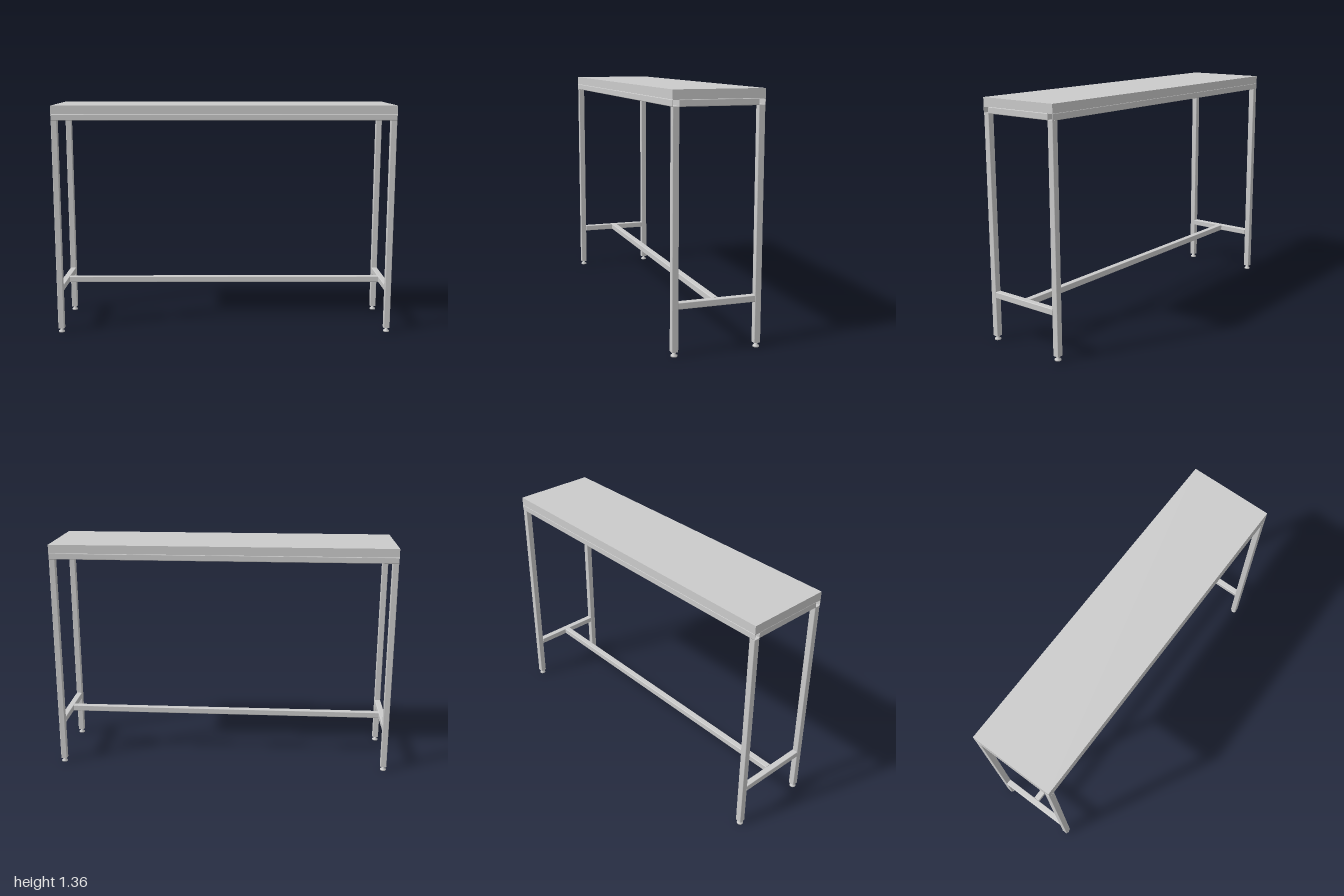
import * as THREE from 'three';

const W = 2, D = 0.496;            // overall width and depth
const T = 0.036;                   // square tube size
const WALL = 0.002;
const LEG_BOTTOM = 0.025, FRAME_BOTTOM = 1.275, TOP_BOTTOM = 1.311, TOP = 1.36;
const LEG_X = W / 2 - T / 2, LEG_Z = D / 2 - T / 2;

const material = new THREE.MeshStandardMaterial({ color: 0xcccccc });

// Rounded square outline centred on the origin
function roundedSquare(path, size, r) {
  const h = size / 2, q = Math.PI / 2;
  path.moveTo(h, -h + r);
  path.absarc(h - r, h - r, r, 0, q);
  path.absarc(-h + r, h - r, r, q, 2 * q);
  path.absarc(-h + r, -h + r, r, 2 * q, 3 * q);
  path.absarc(h - r, -h + r, r, 3 * q, 4 * q);
  return path;
}

// Hollow square tube with open ends, centred, running along an axis
function tubeGeometry(length, axis) {
  const shape = roundedSquare(new THREE.Shape(), T, 0.004);
  shape.holes.push(roundedSquare(new THREE.Path(), T - 2 * WALL, 0.002));
  const g = new THREE.ExtrudeGeometry(shape, { depth: length, bevelEnabled: false, curveSegments: 4 });
  g.translate(0, 0, -length / 2);
  if (axis === 'x') g.rotateY(Math.PI / 2);
  if (axis === 'y') g.rotateX(-Math.PI / 2);
  return g;
}

export function createModel() {
  const table = new THREE.Group();
  table.name = 'highTable';

  function add(name, geometry, x, y, z) {
    const mesh = new THREE.Mesh(geometry, material);
    mesh.name = name;
    mesh.position.set(x, y, z);
    table.add(mesh);
  }

  // Table top slab
  add('tableTop', new THREE.BoxGeometry(W, TOP - TOP_BOTTOM, D), 0, (TOP + TOP_BOTTOM) / 2, 0);

  const legHeight = FRAME_BOTTOM - LEG_BOTTOM;
  const legGeo = tubeGeometry(legHeight, 'y');
  const longRailGeo = tubeGeometry(W, 'x');
  const crossGeo = tubeGeometry(D - 2 * T, 'z');
  const frameY = FRAME_BOTTOM + T / 2;
  const stretcherY = 0.269;

  // Levelling foot: flat pad, tapered neck and stem into the leg
  const footGeo = new THREE.LatheGeometry([
    [0, 0], [0.018, 0], [0.018, 0.007], [0.009, 0.014], [0.009, 0.03], [0, 0.03],
  ].map(([r, y]) => new THREE.Vector2(r, y)), 24);
  const capGeo = new THREE.BoxGeometry(T - WALL, 0.004, T - WALL);

  for (const sz of [1, -1]) {
    // Long frame rails, open at both ends
    add(sz > 0 ? 'frontRail' : 'backRail', longRailGeo, 0, frameY, sz * LEG_Z);
    for (const sx of [1, -1]) {
      const corner = (sz > 0 ? 'front' : 'back') + (sx > 0 ? 'Left' : 'Right');
      add(corner + 'Leg', legGeo, sx * LEG_X, LEG_BOTTOM + legHeight / 2, sz * LEG_Z);
      add(corner + 'LegCap', capGeo, sx * LEG_X, LEG_BOTTOM + 0.002, sz * LEG_Z);
      add(corner + 'Foot', footGeo, sx * LEG_X, 0, sz * LEG_Z);
    }
  }

  // Short rails under the top and between the legs
  for (const sx of [1, -1]) {
    const side = sx > 0 ? 'left' : 'right';
    add(side + 'EndRail', crossGeo, sx * LEG_X, frameY, 0);
    add(side + 'Stretcher', crossGeo, sx * LEG_X, stretcherY, 0);
  }
  add('centreCrossRail', crossGeo, 0, frameY, 0);

  // Long foot bar joining the two side stretchers
  add('footBar', tubeGeometry(W - 2 * T, 'x'), 0, stretcherY, 0);

  return table;
}
